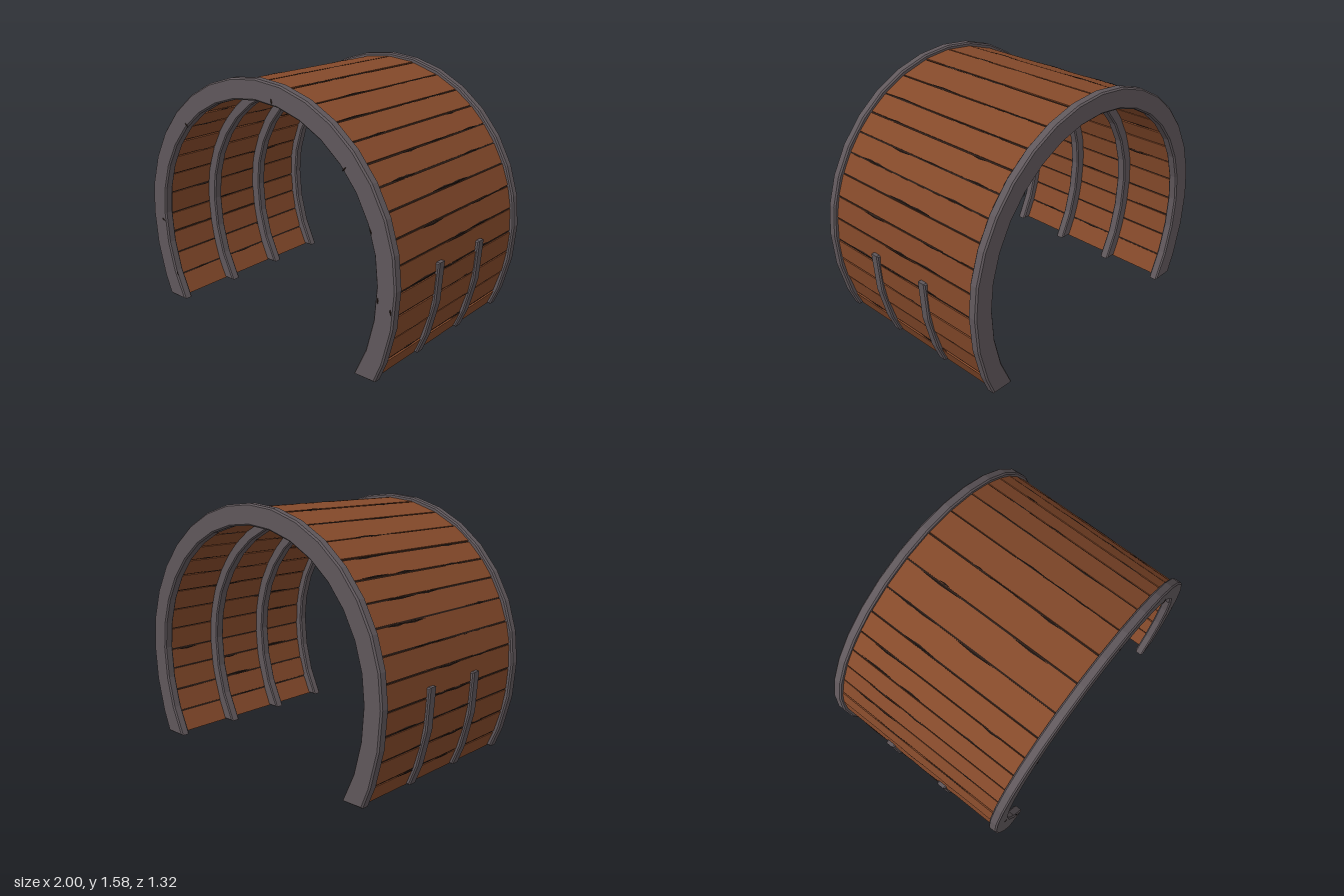
import * as THREE from 'three';

const RAD = Math.PI / 180;
const CENTRE_Y = 0.58;
const FOOT = -36; // angle below the floor; points there are cut off at y = 0

// Point on the arch: a = degrees above the horizontal, d = depth inside the outer surface.
// The upper half is round, the legs follow a taller ellipse and end flat on the floor.
function archPoint(a, d) {
  const rx = 1 - d;
  const ry = a >= 0 ? rx : 1.18 - 1.1 * d;
  let x = rx * Math.cos(a * RAD);
  let y = CENTRE_Y + ry * Math.sin(a * RAD);
  if (a < 0 && y < 0) {
    x = Math.sign(x) * rx * Math.sqrt(1 - (CENTRE_Y / ry) ** 2);
    y = 0;
  }
  return new THREE.Vector2(x, y);
}

// Mirrors angles past the top: 180 - a keeps the same height on the -x side
function curvePoint(a, d) {
  if (a <= 90) return archPoint(a, d);
  const p = archPoint(180 - a, d);
  return new THREE.Vector2(-p.x, p.y);
}

// Solid band along the arch between two depths, z0..z1, with optional softened edges
function band(angles, d0, d1, z0, z1, bevel = 0) {
  const outer = angles.map(a => curvePoint(a, d0));
  const inner = angles.map(a => curvePoint(a, d1)).reverse();
  const g = new THREE.ExtrudeGeometry(new THREE.Shape([...outer, ...inner]), {
    depth: z1 - z0 - 2 * bevel, bevelEnabled: bevel > 0, bevelSize: bevel,
    bevelThickness: bevel, bevelOffset: -bevel, bevelSegments: 1,
  });
  return g.translate(0, 0, z0 + bevel);
}

export function createModel() {
  const group = new THREE.Group();
  const make = (name, color) => {
    const m = new THREE.MeshStandardMaterial({ color });
    m.name = name;
    return m;
  };
  const wood = make('brown wood', 0x84492a);
  const iron = make('grey frame', 0x5f575b);
  const dark = make('dark seams', 0x2a1c16);

  let seed = 7;
  const rnd = () => (seed = (seed * 16807) % 2147483647) / 2147483647;

  function add(name, geometry, material) {
    const mesh = new THREE.Mesh(geometry, material);
    mesh.name = name;
    group.add(mesh);
    return mesh;
  }

  // Plank seams, right side from foot to crown, then mirrored
  const half = [FOOT, -24.3, -16.3, -8.6, -1.7, 7, 15.5, 24.2, 32.2, 40.2, 48.5, 57, 67, 78.5];
  const seams = [...half, 90, ...half.map(a => 180 - a).reverse()];

  // Planks, each set at a slightly different depth
  for (let i = 0; i < seams.length - 1; i++) {
    const d = 0.022 + rnd() * 0.006;
    add('plank', band([seams[i] + 0.3, seams[i + 1] - 0.3], d, d + 0.055, -0.61, 0.61), wood);
  }

  // Dark filling between planks, with tapered splits along it inside and outside
  const splitGeometry = new THREE.OctahedronGeometry(1);
  for (const a of seams.slice(1, -1)) {
    add('seam', band([a - 0.6, a + 0.6], 0.031, 0.073, -0.605, 0.605), dark);
    for (let k = 0; k < 5; k++) {
      const inside = k > 2;
      const p = curvePoint(a + (rnd() - 0.5) * 1.1, inside ? 0.079 : 0.026);
      const split = add('split', splitGeometry, dark);
      split.position.set(p.x, p.y, (rnd() - 0.5) * 0.9);
      split.rotation.z = a * RAD;
      split.scale.set(0.004, 0.006 + rnd() * 0.004, 0.06 + rnd() * 0.1);
    }
  }

  // Faceted end rings
  const ringAngles = [FOOT, -22.5];
  for (let a = -11.25; a <= 191.25; a += 11.25) ringAngles.push(a);
  ringAngles.push(202.5, 180 - FOOT);
  add('frontRing', band(ringAngles, 0, 0.127, 0.6, 0.66, 0.009), iron);
  add('backRing', band(ringAngles, 0, 0.127, -0.66, -0.6, 0.009), iron);

  // Inner ribs across the whole arch, and short braces outside the legs
  const braceAngles = [FOOT, -22.5, -11.25, 1.6];
  for (const z of [-0.212, 0.212]) {
    add('innerRib', band(ringAngles, 0.07, 0.143, z - 0.031, z + 0.031, 0.008), iron);
    add('rightBrace', band(braceAngles, 0.004, 0.05, z - 0.031, z + 0.031, 0.008), iron);
    add('leftBrace', band(braceAngles.map(a => 180 - a), 0.004, 0.05, z - 0.031, z + 0.031, 0.008), iron);
  }

  // Small nicks on the front ring: x, y, tilt
  const nicks = [[-0.61, 1.22, 0.8], [0.65, 1.18, -0.8], [0.83, 0.88, 0.4], [0.885, 0.5, 0],
    [0.97, 0.46, 0.2], [-0.9, 0.53, 1.1], [-0.79, 0.17, 0.4], [0.13, 1.465, 0.1]];
  for (const [x, y, tilt] of nicks) {
    const nick = add('nick', splitGeometry, dark);
    nick.position.set(x, y, 0.66);
    nick.rotation.z = tilt;
    nick.scale.set(0.005, 0.022, 0.004);
  }
  return group;
}
